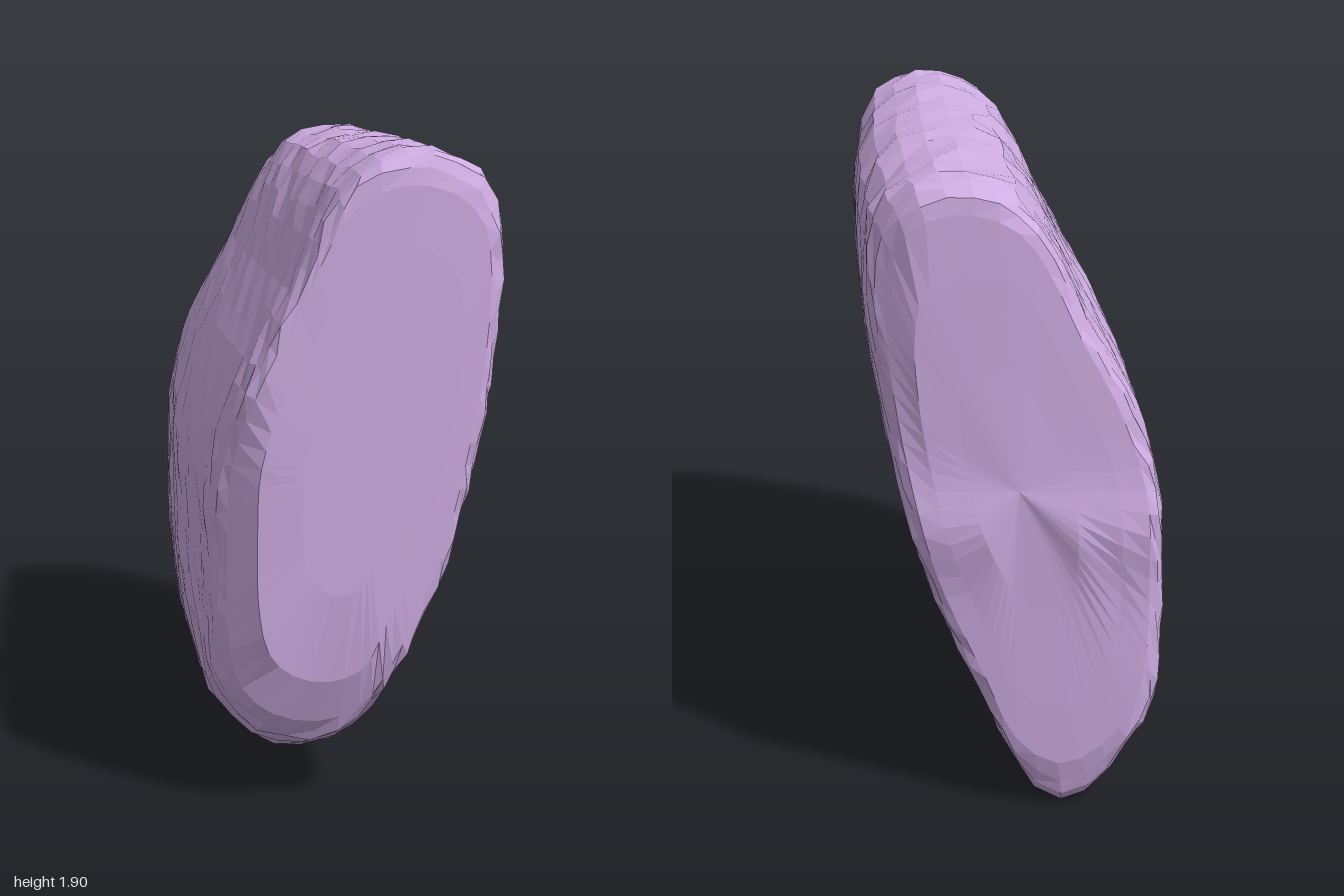
import * as THREE from 'three';

// Cushion cross-section: x = thickness axis, y = height (leaning towards +x at the top)
const SECTION = [
  [-0.13, 0.085], [0.0, 0.14], [0.11, 0.36], [0.25, 0.68], [0.335, 1.0], [0.395, 1.35],
  [0.41, 1.62], [0.38, 1.78], [0.28, 1.865], [0.14, 1.885], [0.0, 1.83], [-0.09, 1.71],
  [-0.19, 1.5], [-0.32, 1.25], [-0.4, 1.0], [-0.415, 0.75], [-0.41, 0.42], [-0.37, 0.24], [-0.26, 0.12],
];
// Rounded end: [distance along the length, section scale]
const END = [
  [0.55, 1], [0.7, 1], [0.8, 1], [0.87, 1], [0.92, 0.99], [0.955, 0.975], [0.98, 0.945],
  [0.992, 0.89], [0.997, 0.7], [1, 0.4], [1, 0],
];
const AROUND = 56;
const YAW = 0.541; // turn of the long axis away from z
const { smoothstep } = THREE.MathUtils;

function makeRandom(seed) {
  return () => {
    seed = (seed * 16807) % 2147483647;
    return seed / 2147483647 - 0.5;
  };
}

function cushionGeometry() {
  const curve = new THREE.CatmullRomCurve3(SECTION.map(([x, y]) => new THREE.Vector3(x, y, 0)), true, 'centripetal');
  const outline = curve.getSpacedPoints(AROUND).slice(0, AROUND);
  const middle = [-0.4, -0.27, -0.13, 0, 0.13, 0.27, 0.4].map((u) => [u, 1]);
  const stations = [...END.map(([u, s]) => [-u, s]).reverse(), ...middle, ...END];
  const random = makeRandom(77);
  const bump = (d, w) => Math.exp(-(d * d) / (w * w));
  const positions = [];
  const index = [];

  stations.forEach(([u0, s], i) => {
    const nearEnd = smoothstep(Math.abs(u0), 0.6, 0.97);
    outline.forEach((p, j) => {
      let n = p.x * s;
      let y = 1 + (p.y - 1) * s;
      let u = u0;
      // gentle filling of the middle
      n *= 1 + 0.08 * (1 - u0 * u0);
      const low = 1 - smoothstep(y, 0.05, 0.5);
      if (u0 > 0) {
        // near end: bevelled front corner, raised rounded bottom corner
        u -= nearEnd * (0.1 * smoothstep(-n, 0.27, 0.41) + 0.08 * low);
        y += 0.08 * low * nearEnd;
      } else {
        // far end: slightly skewed, bevelled rear corner, seam lip
        u += nearEnd * (0.08 * n + 0.06 * smoothstep(n, 0.28, 0.4));
        u -= 0.03 * nearEnd * bump(y - 0.87, 0.12);
      }
      // pulled-out bottom corner
      if (y < 0.5) y -= 0.11 * bump(u + 0.92, 0.08) * bump(n + 0.14, 0.12);
      // slight crumpling, stronger along the edges
      const edge = Math.abs(u0) > 0.85 || y > 1.7 || y < 0.25;
      const amount = s < 0.9 ? 0 : edge ? 0.016 : 0.007;
      n += random() * amount;
      y += random() * amount;
      u += random() * amount;
      positions.push(n, y, u);

      if (i < stations.length - 1) {
        const k = (j + 1) % AROUND;
        const a = i * AROUND + j;
        const b = i * AROUND + k;
        index.push(a, b, b + AROUND, a, b + AROUND, a + AROUND);
      }
    });
  });

  const geometry = new THREE.BufferGeometry();
  geometry.setAttribute('position', new THREE.Float32BufferAttribute(positions, 3));
  geometry.setIndex(index);
  geometry.rotateY(YAW);
  geometry.computeVertexNormals();
  return geometry;
}

export function createModel() {
  const group = new THREE.Group();
  const fabric = new THREE.MeshStandardMaterial({ color: 0xcfade3, flatShading: true });
  const cushion = new THREE.Mesh(cushionGeometry(), fabric);
  cushion.name = 'cushion';
  // settle on the ground, centred
  const box = new THREE.Box3().setFromObject(cushion);
  const centre = box.getCenter(new THREE.Vector3());
  cushion.position.set(-centre.x, -box.min.y, -centre.z);
  group.add(cushion);
  return group;
}
